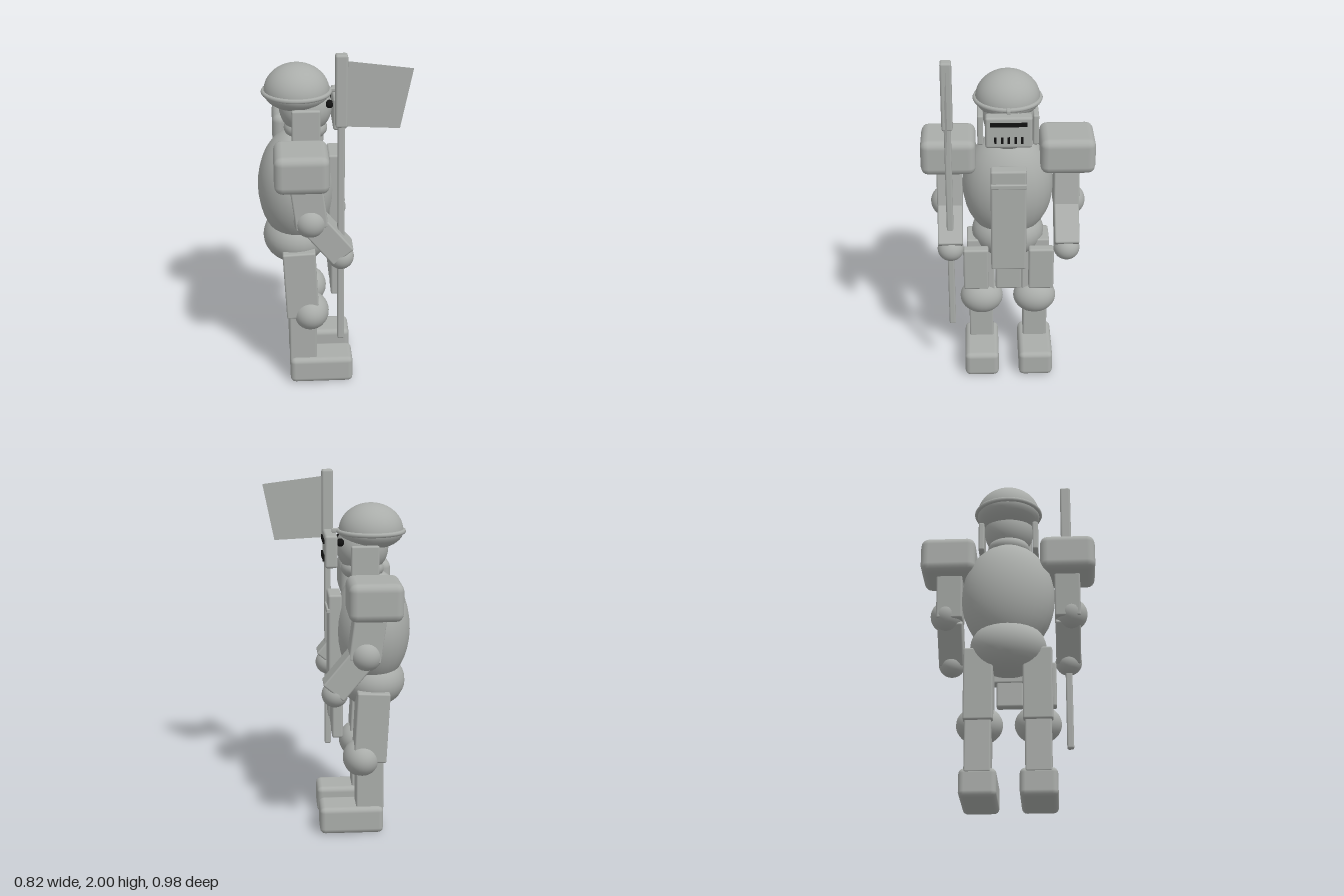
import * as THREE from 'three';
import { RoundedBoxGeometry } from 'three/addons/geometries/RoundedBoxGeometry.js';

export function createModel() {
  const model = new THREE.Group();
  const armour = new THREE.MeshStandardMaterial({ color: 0xaaadaa, side: THREE.DoubleSide });
  armour.name = 'greyArmour';
  const dark = new THREE.MeshStandardMaterial({ color: 0x111111 });
  dark.name = 'blackDetail';

  function add(name, geometry, pos, mat = armour, parent = model) {
    const mesh = new THREE.Mesh(geometry, mat);
    mesh.name = name;
    mesh.position.set(...pos);
    parent.add(mesh);
    return mesh;
  }
  // rounded box given by its x, y and z ranges
  function block(name, x, y, z, r = 0.012, parent = model) {
    const g = new RoundedBoxGeometry(x[1] - x[0], y[1] - y[0], z[1] - z[0], 2, r);
    return add(name, g, [(x[0] + x[1]) / 2, (y[0] + y[1]) / 2, (z[0] + z[1]) / 2], armour, parent);
  }
  function ball(name, pos, radii, parent = model, mat = armour) {
    const g = new THREE.SphereGeometry(1, 28, 18);
    g.scale(...radii);
    return add(name, g, pos, mat, parent);
  }

  // torso
  ball('torso', [-0.195, 1.15, 0], [0.215, 0.33, 0.26]);
  ball('pelvis', [-0.2, 0.845, 0], [0.185, 0.155, 0.21]);
  ball('neck', [-0.14, 1.49, 0], [0.12, 0.07, 0.12]);

  // head
  ball('head', [-0.14, 1.61, 0], [0.145, 0.15, 0.14]);
  const dome = new THREE.SphereGeometry(1, 32, 12, 0, Math.PI * 2, 0, Math.PI / 2);
  dome.scale(0.18, 0.155, 0.18);
  add('helmetDome', dome, [-0.187, 1.697, 0]);
  const bowl = new THREE.SphereGeometry(1, 32, 10, 0, Math.PI * 2, Math.PI / 2, Math.PI / 2);
  bowl.scale(0.18, 0.1, 0.18);
  add('helmetLower', bowl, [-0.187, 1.697, 0]);
  const rim = new THREE.TorusGeometry(0.181, 0.013, 8, 40);
  rim.rotateX(Math.PI / 2);
  add('helmetRim', rim, [-0.187, 1.697, 0]);

  // face mask with slots
  block('faceMask', [0.005, 0.075], [1.51, 1.69], [-0.127, 0.127], 0.014);
  block('maskHinge', [-0.01, 0.032], [1.69, 1.712], [-0.011, 0.011], 0.005);
  add('maskSlot', new THREE.BoxGeometry(0.009, 0.022, 0.2), [0.08, 1.652, 0], dark);
  for (let i = -2; i <= 2; i++) {
    add('maskSlit', new THREE.BoxGeometry(0.009, 0.036, 0.013), [0.08, 1.56, i * 0.036], dark);
  }

  // front plates
  block('chestPlate', [-0.02, 0.055], [0.72, 1.355], [-0.1, 0.1]);
  block('chestStrip', [0.04, 0.066], [1.25, 1.278], [-0.1, 0.1], 0.006);
  block('centrePlate', [-0.015, 0.04], [0.58, 0.78], [-0.075, 0.075]);

  for (const s of [1, -1]) {
    const side = new THREE.Group();
    side.name = s > 0 ? 'spearSide' : 'freeSide';
    model.add(side);
    const zr = (a, b) => (s > 0 ? [a, b] : [-b, -a]);

    ball('eye', [-0.012, 1.645, s * 0.075], [0.022, 0.022, 0.03], side, dark);
    block('earPlate', [-0.22, -0.065], [1.46, 1.638], zr(0.137, 0.17), 0.01, side);

    // arm
    block('shoulderPad', [-0.322, -0.03], [1.283, 1.492], zr(0.18, 0.488), 0.045, side);
    block('upperArm', [-0.232, -0.058], [1.05, 1.42], zr(0.258, 0.402), 0.01, side).rotation.z = 0.13;
    ball('elbow', [-0.13, 1.08, s * 0.35], [0.09, 0.09, 0.09], side);
    block('forearm', [-0.105, 0.04], [0.85, 1.1], zr(0.26, 0.4), 0.01, side).rotation.z = 0.69;
    ball('hand', [0.035, 0.858, s * 0.33], [0.072, 0.072, 0.075], side);

    // leg
    block('skirtPlate', [-0.015, 0.045], [0.58, 0.845], zr(0.115, 0.26), 0.012, side);
    block('thigh', [-0.272, -0.088], [0.42, 0.825], zr(0.08, 0.24), 0.01, side).rotation.z = 0.05;
    ball('knee', [-0.128, 0.428, s * 0.158], [0.107, 0.106, 0.127], side);
    block('shin', [-0.248, -0.093], [0.13, 0.46], zr(0.09, 0.232), 0.01, side);
    block('foot', [-0.247, 0.113], [0, 0.157], zr(0.06, 0.26), 0.03, side);
  }

  // spear with flag
  block('spearPole', [0.016, 0.054], [0.345, 1.65], [0.311, 0.349], 0.01);
  block('spearHead', [0.003, 0.068], [1.61, 2], [0.3, 0.361], 0.012);
  const flag = new THREE.Shape([
    [0.06, 1.962], [0.06, 1.608], [0.342, 1.594], [0.407, 1.918],
  ].map(([x, y]) => new THREE.Vector2(x, y)));
  add('flag', new THREE.ShapeGeometry(flag), [0, 0, 0.33]);

  return model;
}
